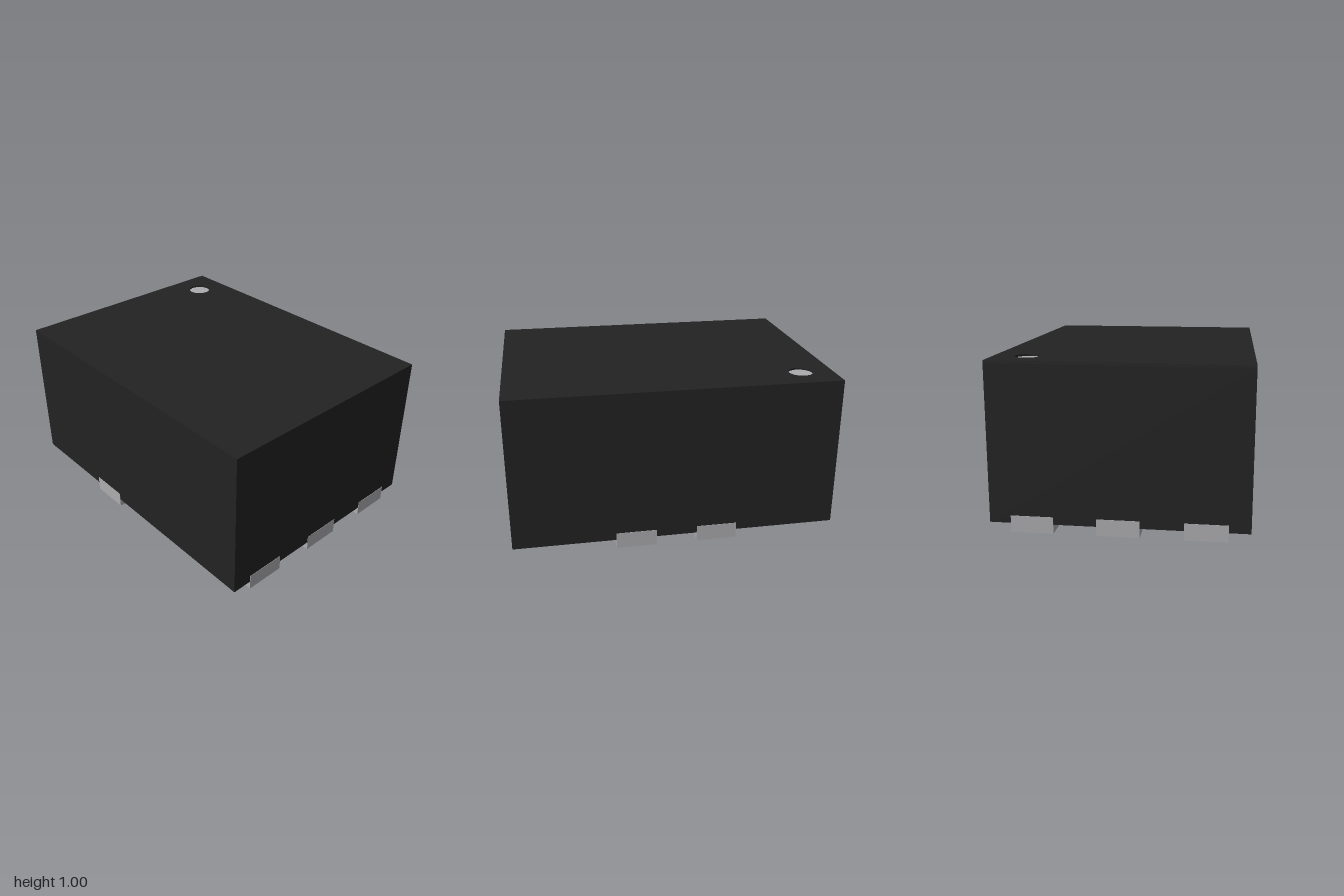
import * as THREE from 'three';

const W = 2, D = 1.5, BASE = 0.055, TOP = 1, RECESS = 0.015;
const PAD_W = 0.25, PAD_H = 0.1, PROUD = 0.002;

export function createModel() {
  const group = new THREE.Group();
  const black = new THREE.MeshStandardMaterial({ color: 0x222222 });
  black.name = 'black moulding';
  const metal = new THREE.MeshStandardMaterial({ color: 0xacacaf });
  metal.name = 'tinned metal';

  const add = (name, geometry, material, x = 0, y = 0, z = 0) => {
    const mesh = new THREE.Mesh(geometry, material);
    mesh.name = name;
    mesh.position.set(x, y, z);
    group.add(mesh);
    return mesh;
  };

  // Extrudes a plan outline upward: shape (x, y) becomes (x, -z)
  const extrudeUp = (shape, height) =>
    new THREE.ExtrudeGeometry(shape, { depth: height, bevelEnabled: false, curveSegments: 24 })
      .rotateX(-Math.PI / 2);

  // Body: solid block with a thin top layer pierced by the marker recess
  const blockH = TOP - RECESS - BASE;
  add('body', new THREE.BoxGeometry(W, blockH, D), black, 0, BASE + blockH / 2, 0);
  const plan = new THREE.Shape([[-1, -0.75], [1, -0.75], [1, 0.75], [-1, 0.75]]
    .map(([x, y]) => new THREE.Vector2(x, y)));
  plan.holes.push(new THREE.Path().absarc(-0.8, 0.55, 0.075, 0, Math.PI * 2, true));
  add('bodyTop', extrudeUp(plan, RECESS), black, 0, TOP - RECESS, 0);

  // Pin one marker: disc on the floor of the recess
  add('pinOneMarker', new THREE.CylinderGeometry(0.0745, 0.0745, 0.004, 48), metal,
    -0.8, TOP - RECESS + 0.002, -0.55);

  // Pads run inward along +x from their outer edge, ending in a half circle
  const h = PAD_W / 2;
  const roundPad = (length) => {
    const s = new THREE.Shape();
    s.moveTo(-PROUD, -h);
    s.lineTo(length - h, -h);
    s.absarc(length - h, 0, h, -Math.PI / 2, Math.PI / 2, false);
    s.lineTo(-PROUD, h);
    s.closePath();
    return extrudeUp(s, PAD_H);
  };
  const addPad = (name, geometry, x, z, turn) => {
    add(name, geometry, metal, x, 0, z).rotation.y = turn;
  };

  // Side pads, three on the left
  for (const z of [-0.5, 0, 0.5]) addPad('leftPad', roundPad(0.35), 1, z, Math.PI);

  // Two round pads on the right, and the chamfered first pin
  for (const z of [0, 0.5]) addPad('rightPad', roundPad(0.35), -1, z, 0);
  const chamfered = new THREE.Shape([
    [-PROUD, -h], [0.175, -h], [0.35, 0.05], [0.35, h], [-PROUD, h],
  ].map(([x, y]) => new THREE.Vector2(x, y)));
  addPad('pinOnePad', extrudeUp(chamfered, PAD_H), -1, -0.5, 0);

  // Front and back pads of different lengths
  addPad('frontPad', roundPad(0.8), -0.25, 0.75, Math.PI / 2);
  addPad('backLongPad', roundPad(1.1), 0.25, -0.75, -Math.PI / 2);
  addPad('backShortPad', roundPad(0.35), -0.25, -0.75, -Math.PI / 2);

  return group;
}
